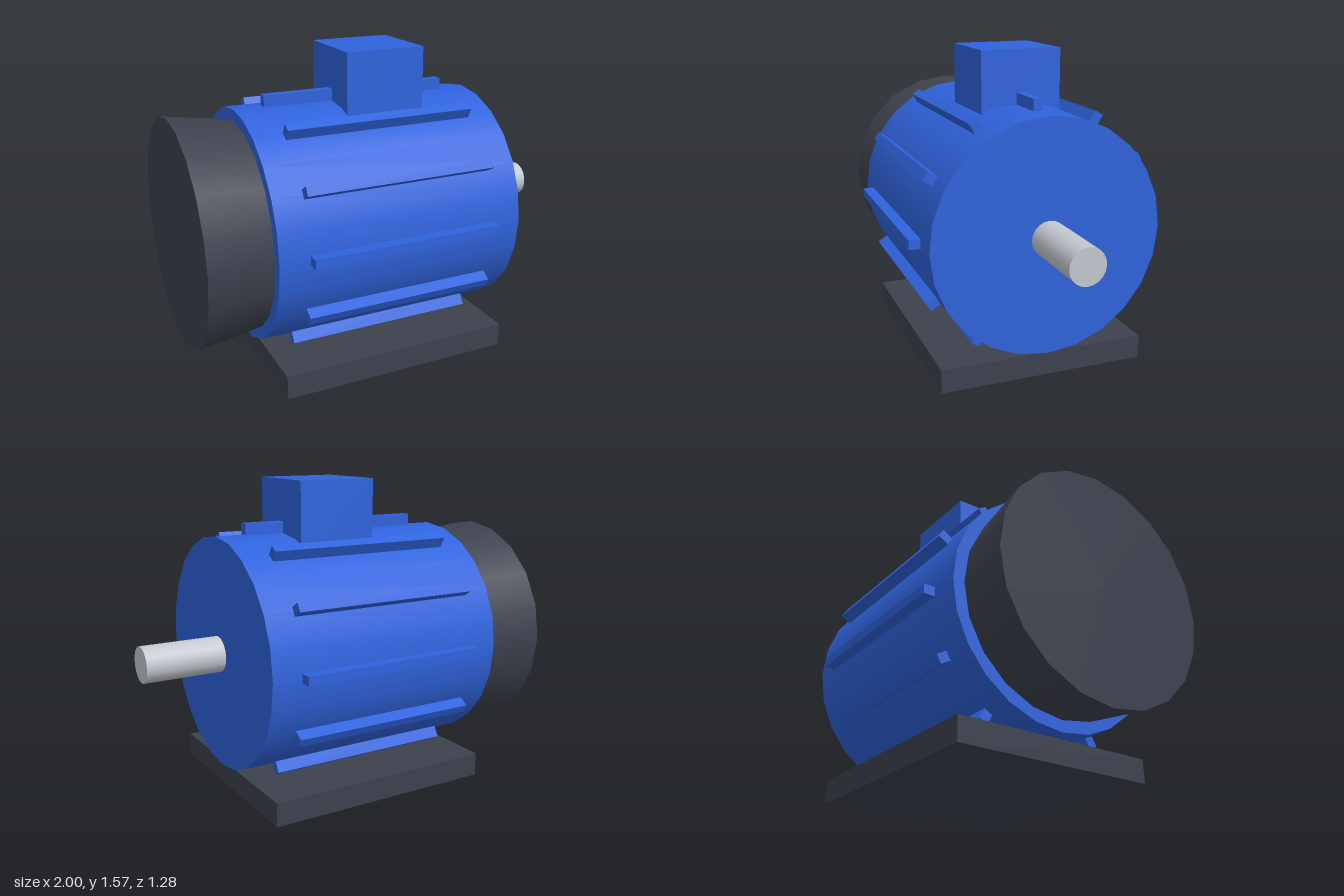
import * as THREE from 'three';

const AXIS_Y = 0.72;

export function createModel() {
  const model = new THREE.Group();
  model.name = 'electricMotor';

  const paint = (name, color) => {
    const m = new THREE.MeshStandardMaterial({ color });
    m.name = name;
    return m;
  };
  const blue = paint('bluePaint', 0x2f63dc);
  const dark = paint('darkGrey', 0x3c414d);
  const steel = paint('steel', 0xc3c8cf);

  const add = (name, geometry, material, x, y, z = 0) => {
    const mesh = new THREE.Mesh(geometry, material);
    mesh.name = name;
    mesh.position.set(x, y, z);
    model.add(mesh);
    return mesh;
  };

  // Round part lying along x, from x0 (radius r0) to x1 (radius r1)
  const addRound = (name, material, x0, x1, r0, r1, sides) => {
    const geometry = new THREE.CylinderGeometry(r1, r0, x1 - x0, sides);
    geometry.rotateZ(-Math.PI / 2);
    return add(name, geometry, material, (x0 + x1) / 2, AXIS_Y);
  };

  // Box given by its lower and upper limits in x and y, centred on z
  const addBox = (name, material, x0, x1, y0, y1, depth) =>
    add(name, new THREE.BoxGeometry(x1 - x0, y1 - y0, depth), material, (x0 + x1) / 2, (y0 + y1) / 2);

  // Housing, flared fan cover and drive shaft
  addRound('housing', blue, -0.68, 0.6, 0.585, 0.585, 24);
  addRound('fanCover', dark, -1, -0.68, 0.573, 0.527, 20);
  addRound('shaft', steel, 0.58, 1, 0.09, 0.09, 20);

  // Mounting base and terminal box
  addBox('base', dark, -0.64, 0.56, 0, 0.12, 1.06);
  addBox('terminalBox', blue, -0.172, 0.242, 1.18, 1.57, 0.412);

  // Twelve cooling fins around the housing
  const finGeometry = new THREE.BoxGeometry(0.98, 0.09, 0.047);
  finGeometry.translate(0, 0.595, 0);
  for (let i = 0; i < 12; i++) {
    const fin = add(`coolingFin${i + 1}`, finGeometry, blue, -0.04, AXIS_Y);
    fin.rotation.x = (i * Math.PI) / 6;
  }

  return model;
}
